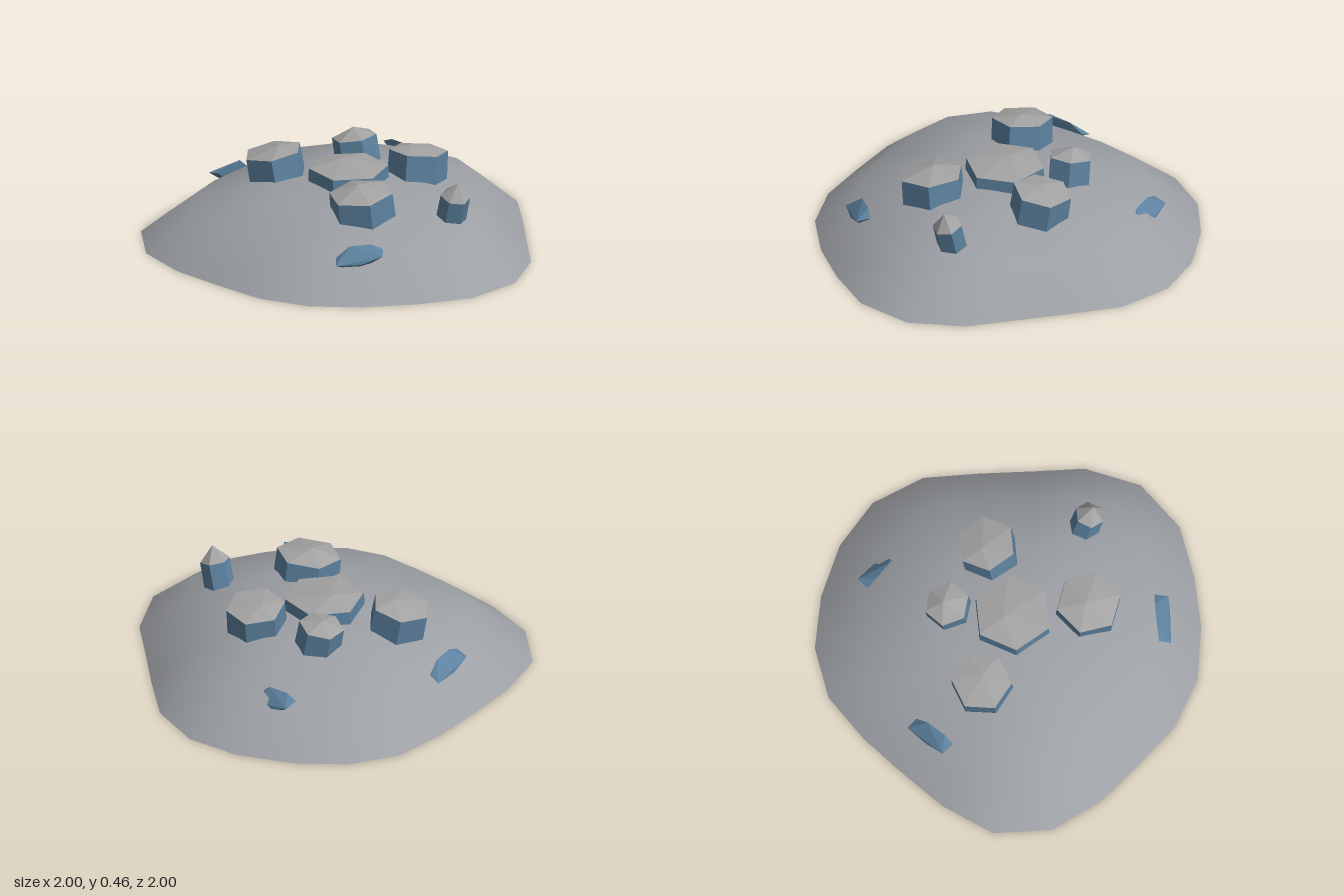
import * as THREE from 'three';
import { ConvexGeometry } from 'three/addons/geometries/ConvexGeometry.js';

const material = (name, color, options = {}) => {
  const m = new THREE.MeshStandardMaterial({ color, side: THREE.DoubleSide, ...options });
  m.name = name;
  return m;
};

// Footprint of the mound as x, z pairs
const OUTLINE = [
  [-0.2, -1], [0.09, -0.96], [0.34, -0.81], [0.57, -0.66], [0.79, -0.52], [0.97, -0.28],
  [1, 0.02], [0.9, 0.29], [0.77, 0.53], [0.59, 0.75], [0.35, 0.89], [0.08, 0.95],
  [-0.2, 1], [-0.49, 0.98], [-0.745, 0.82], [-0.87, 0.55], [-0.94, 0.25], [-0.985, 0.01],
  [-1, -0.27], [-0.9, -0.53], [-0.71, -0.74], [-0.47, -0.91],
];

// Smooth open shell: the footprint shrinks in rings towards the crown
function moundGeometry() {
  const rings = [[1, 0], [0.755, 0.21], [0.4, 0.3]];
  const n = OUTLINE.length;
  const positions = [];
  const index = [];
  for (const [scale, y] of rings) {
    for (const [x, z] of OUTLINE) positions.push(x * scale, y, z * scale);
  }
  positions.push(0, 0.335, 0);
  const crown = rings.length * n;
  for (let r = 0; r < rings.length; r++) {
    for (let i = 0; i < n; i++) {
      const a = r * n + i;
      const b = r * n + (i + 1) % n;
      if (r === rings.length - 1) index.push(a, crown, b);
      else index.push(a, a + n, b, b, a + n, b + n);
    }
  }
  const g = new THREE.BufferGeometry();
  g.setAttribute('position', new THREE.Float32BufferAttribute(positions, 3));
  g.setIndex(index);
  g.computeVertexNormals();
  return g;
}

// Six-sided column, open below, with a low faceted cap; "at" is the middle of its rim
function crystal({ name, at, radius, lean, spin, length, cap, tip = [0, 0] }, wallMat, capMat) {
  const group = new THREE.Group();
  group.name = name;
  const start = THREE.MathUtils.degToRad(spin);

  const walls = new THREE.CylinderGeometry(radius, radius * 1.04, length, 6, 1, true, start);
  walls.translate(0, -length / 2, 0);
  const column = new THREE.Mesh(walls, wallMat);
  column.name = name + 'Column';

  const top = new THREE.ConeGeometry(radius, cap, 6, 1, true, start);
  top.translate(0, cap / 2, 0);
  const p = top.attributes.position;
  for (let i = 0; i < p.count; i++) {
    if (p.getY(i) > cap / 2) p.setXYZ(i, tip[0], cap, tip[1]);
  }
  const lid = new THREE.Mesh(top, capMat);
  lid.name = name + 'Cap';

  group.add(column, lid);
  group.position.set(...at);
  const axis = new THREE.Vector3(lean[0], 1, lean[1]).normalize();
  group.quaternion.setFromUnitVectors(new THREE.Vector3(0, 1, 0), axis);
  return group;
}

// Half-buried splinter; local x runs along it, local z points out of the mound
function shardGeometry() {
  return new ConvexGeometry([
    [-0.13, -0.035, 0.03], [-0.12, -0.01, -0.03], [-0.05, 0.045, -0.035], [0.06, 0.05, -0.035],
    [0.12, 0.025, -0.03], [0.11, 0.01, 0.04], [0, -0.03, 0.04], [0, -0.08, -0.02],
  ].map((v) => new THREE.Vector3(...v)));
}

export function createModel() {
  const model = new THREE.Group();
  model.name = 'crystalMound';

  const stone = material('mound grey', 0x9c9fa4);
  const blue = material('crystal blue', 0x5c819e, { flatShading: true });
  const pale = material('cap grey', 0xa3a3a4, { flatShading: true });

  const mound = new THREE.Mesh(moundGeometry(), stone);
  mound.name = 'mound';
  model.add(mound);

  // Columns grow from the crown and lean outwards
  const crystals = [
    { name: 'centreCrystal', at: [-0.048, 0.385, 0.016], radius: 0.205, lean: [0, 0], spin: 30, length: 0.27, cap: 0.03, tip: [-0.06, 0] },
    { name: 'backCrystal', at: [0.055, 0.42, -0.355], radius: 0.152, lean: [-0.07, -0.13], spin: 30, length: 0.3, cap: 0.025, tip: [-0.035, 0.015] },
    { name: 'backRightCrystal', at: [-0.3, 0.418, -0.21], radius: 0.117, lean: [-0.17, 0.06], spin: 13, length: 0.28, cap: 0.045, tip: [-0.01, -0.01] },
    { name: 'frontRightCrystal', at: [-0.4, 0.41, 0.235], radius: 0.155, lean: [-0.14, 0.11], spin: 50, length: 0.28, cap: 0.03, tip: [0.03, -0.02] },
    { name: 'frontLeftCrystal', at: [0.3, 0.397, 0.2], radius: 0.168, lean: [-0.01, 0.12], spin: 9, length: 0.28, cap: 0.042, tip: [-0.02, 0] },
    { name: 'leftSpike', at: [0.585, 0.375, -0.19], radius: 0.077, lean: [0.28, 0], spin: 30, length: 0.32, cap: 0.08 },
  ];
  for (const c of crystals) model.add(crystal(c, blue, pale));

  // Splinters lie across the slope
  const shards = [
    { name: 'backShard', at: [-0.43, 0.2, -0.635], along: [-0.97, 0.25] },
    { name: 'rightShard', at: [-0.74, 0.205, 0.265], along: [0.27, 0.96] },
    { name: 'leftShard', at: [0.6, 0.2, 0.43], along: [0.5, -0.86] },
  ];
  const splinter = shardGeometry();
  for (const { name, at, along } of shards) {
    const shard = new THREE.Mesh(splinter, blue);
    shard.name = name;
    shard.position.set(...at);
    shard.rotation.y = Math.atan2(-along[1], along[0]);
    model.add(shard);
  }
  return model;
}
